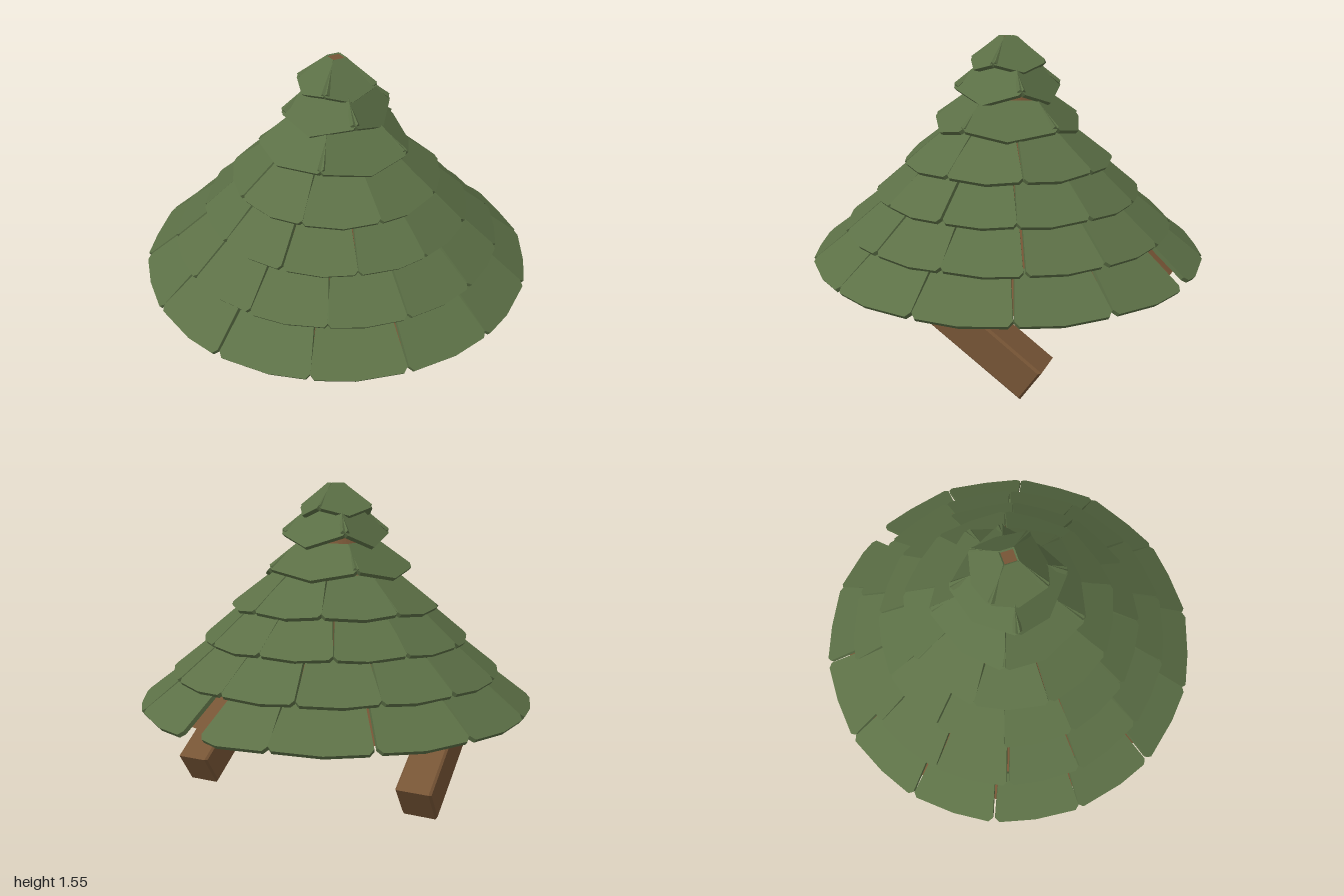
import * as THREE from 'three';

const shingleGreen = new THREE.MeshStandardMaterial({ name: 'shingleGreen', color: 0x5c7046 });
const timberBrown = new THREE.MeshStandardMaterial({ name: 'timberBrown', color: 0x765435 });
shingleGreen.flatShading = true;
timberBrown.flatShading = true;

// Rows from the top down: corner radius and height of the lower edge, tile count, first seam angle in degrees
const ROWS = [
  { r: 0.205, y: 1.385, n: 4, seam: 0 },
  { r: 0.285, y: 1.235, n: 4, seam: 35 },
  { r: 0.395, y: 1.09, n: 5, seam: 5 },
  { r: 0.535, y: 0.93, n: 9, seam: -2 },
  { r: 0.675, y: 0.77, n: 12, seam: 24 },
  { r: 0.835, y: 0.61, n: 14, seam: 13 },
  { r: 1.0, y: 0.455, n: 14, seam: 9 },
];
const THICKNESS = 0.02;

// Distance from the axis to the corners and to the blunt tip of the flat tiles in a row
ROWS.forEach((row) => {
  row.dCorner = row.r * Math.cos(Math.PI / row.n);
  row.dLow = row.dCorner + 0.55 * (row.r - row.dCorner);
});

function seededRandom(seed) {
  return () => {
    seed = (seed * 16807) % 2147483647;
    return seed / 2147483647;
  };
}

// Flat tile: narrow at the top, clipped corners and a blunt point at the lower edge
function tileGeometry(dTop, row, cosSlope, gapL, gapR, peak) {
  const tanHalf = Math.tan(Math.PI / row.n);
  const along = (d) => -(d - dTop) / cosSlope;
  const wTop = dTop * tanHalf;
  const wLow = row.dCorner * tanHalf;
  const clip = 0.08 * wLow;
  const shape = new THREE.Shape([
    [-wTop + Math.min(gapL, wTop * 0.5), 0],
    [-wLow + gapL, along(row.dCorner - 1.2 * clip)],
    [-wLow + gapL + clip, along(row.dCorner)],
    [peak * wLow, along(row.dLow)],
    [wLow - gapR - clip, along(row.dCorner)],
    [wLow - gapR, along(row.dCorner - 1.2 * clip)],
    [wTop - Math.min(gapR, wTop * 0.5), 0],
  ].map(([x, y]) => new THREE.Vector2(x, y)));
  const geo = new THREE.ExtrudeGeometry(shape, { depth: THICKNESS, bevelEnabled: false });
  return geo.translate(0, 0, -THICKNESS);
}

function shingleRow(row, above, isLowest, rand) {
  const group = new THREE.Group();
  group.name = 'shingleRow';
  const dTop = above ? above.dLow - 0.062 : 0.035;
  const yTop = above ? above.y + 0.02 : 1.545;
  const slope = Math.atan2(yTop - row.y, row.dLow - dTop);
  const sn = Math.sin(slope), cs = Math.cos(slope);
  const step = (Math.PI * 2) / row.n;
  for (let k = 0; k < row.n; k++) {
    const a = THREE.MathUtils.degToRad(row.seam) + (k + 0.5) * step;
    const sa = Math.sin(a), ca = Math.cos(a);
    const scale = 0.3 + 0.7 * row.r;
    // One lower tile at the back is narrower and leaves the timber showing
    const gapL = (0.003 + 0.009 * rand()) * scale + (isLowest && k === 6 ? 0.09 : 0);
    const gapR = (0.003 + 0.009 * rand()) * scale;
    const geo = tileGeometry(dTop, row, cs, gapL, gapR, (rand() - 0.5) * 0.3);
    const tile = new THREE.Mesh(geo, shingleGreen);
    tile.name = 'shingle';
    geo.rotateZ((rand() - 0.5) * 0.04);
    geo.applyMatrix4(new THREE.Matrix4().makeBasis(
      new THREE.Vector3(ca, 0, -sa),
      new THREE.Vector3(-cs * sa, sn, -cs * ca),
      new THREE.Vector3(sn * sa, cs, sn * ca),
    ));
    tile.position.set(dTop * sa, yTop, dTop * ca);
    group.add(tile);
  }
  return group;
}

// Slanted brace, cut level where it meets the underside of the roof
function brace(name, x, y, yaw) {
  const bevel = 0.01;
  const shape = new THREE.Shape([
    [-0.32, 0.013], [0.38, 0.475], [0.07, 0.475], [-0.41, 0.147],
  ].map(([z, h]) => new THREE.Vector2(z, h)));
  const depth = 0.175 - 2 * bevel;
  const geo = new THREE.ExtrudeGeometry(shape, {
    depth, bevelThickness: bevel, bevelSize: bevel, bevelSegments: 1,
  });
  geo.translate(0, 0, -depth / 2).rotateY(-Math.PI / 2);
  const mesh = new THREE.Mesh(geo, timberBrown);
  mesh.name = name;
  mesh.position.set(x, y, 0);
  mesh.rotation.y = yaw;
  return mesh;
}

export function createModel() {
  const model = new THREE.Group();
  model.name = 'shingledRoof';
  const rand = seededRandom(77);

  // Timber core under the shingles, closed at the bottom
  const profile = [
    [0, 0.46], [0.88, 0.46], [0.70, 0.60], [0.55, 0.76], [0.40, 0.92],
    [0.27, 1.09], [0.16, 1.24], [0.08, 1.39], [0, 1.5],
  ].map(([r, y]) => new THREE.Vector2(r, y));
  const core = new THREE.Mesh(new THREE.LatheGeometry(profile, 48), timberBrown);
  core.name = 'roofCore';
  model.add(core);

  // Small timber tip in the opening at the peak
  const tip = new THREE.Mesh(new THREE.CylinderGeometry(0.04, 0.04, 0.08, 4), timberBrown);
  tip.name = 'roofTip';
  tip.position.y = 1.5;
  model.add(tip);

  // Overlapping shingles
  const shingles = new THREE.Group();
  shingles.name = 'shingles';
  ROWS.forEach((row, i) => shingles.add(shingleRow(row, ROWS[i - 1], i === ROWS.length - 1, rand)));
  model.add(shingles);

  // Braces
  model.add(brace('leftBrace', 0.613, 0, -0.02));
  model.add(brace('rightBrace', -0.59, 0.012, -0.025));
  return model;
}
